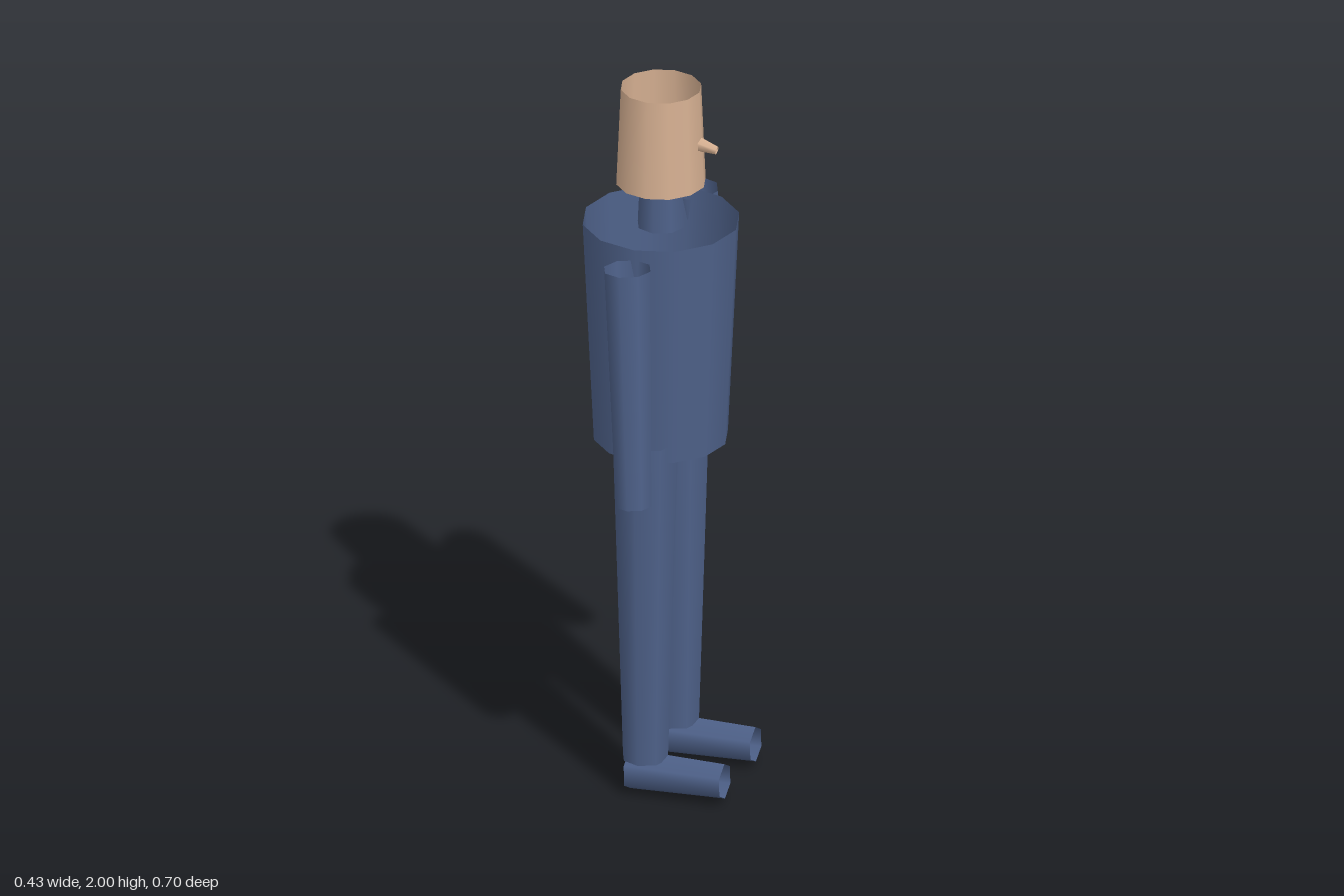
import * as THREE from 'three';

const UP = new THREE.Vector3(0, 1, 0);

export function createModel() {
  const model = new THREE.Group();
  model.name = 'tubeFigure';

  const navy = new THREE.MeshStandardMaterial({ name: 'navy', color: 0x4e6189, side: THREE.DoubleSide });
  const skin = new THREE.MeshStandardMaterial({ name: 'skin', color: 0xd6b092, side: THREE.DoubleSide });

  // Open tapered tube running between two points, with a radius at each end
  function tube(name, material, from, to, rFrom, rTo, sides, thetaStart = 0) {
    const a = new THREE.Vector3(...from);
    const b = new THREE.Vector3(...to);
    const axis = b.clone().sub(a);
    const geometry = new THREE.CylinderGeometry(rTo, rFrom, axis.length(), sides, 1, true, thetaStart);
    const mesh = new THREE.Mesh(geometry, material);
    mesh.name = name;
    mesh.quaternion.setFromUnitVectors(UP, axis.normalize());
    mesh.position.copy(a).add(b).multiplyScalar(0.5);
    model.add(mesh);
  }

  const cx = -0.007; // body axis

  // Head, nose, neck and torso
  tube('head', skin, [cx, 1.725, 0], [cx, 2, 0], 0.12, 0.108, 12);
  tube('nose', skin, [0.095, 1.85, 0], [0.15, 1.838, 0], 0.022, 0.012, 6, Math.PI / 2);
  tube('neck', navy, [cx, 1.6, 0], [cx, 1.74, 0], 0.065, 0.058, 8);
  tube('torso', navy, [cx, 0.985, 0], [cx, 1.615, 0], 0.18, 0.21, 12);

  // Limbs, mirrored across the z = 0 plane (the figure walks towards +x)
  for (const [side, s] of [['near', 1], ['far', -1]]) {
    tube(side + 'Arm', navy, [0.023, 0.918, s * 0.3], [cx, 1.585, s * 0.265], 0.05, 0.065, 8);
    tube(side + 'Leg', navy, [cx, 0.1, s * 0.122], [cx, 1.03, s * 0.122], 0.063, 0.092, 8);
    tube(side + 'Foot', navy, [-0.05, 0.058, s * 0.122], [0.215, 0.062, s * 0.122], 0.057, 0.05, 6, Math.PI / 2);
  }

  return model;
}
